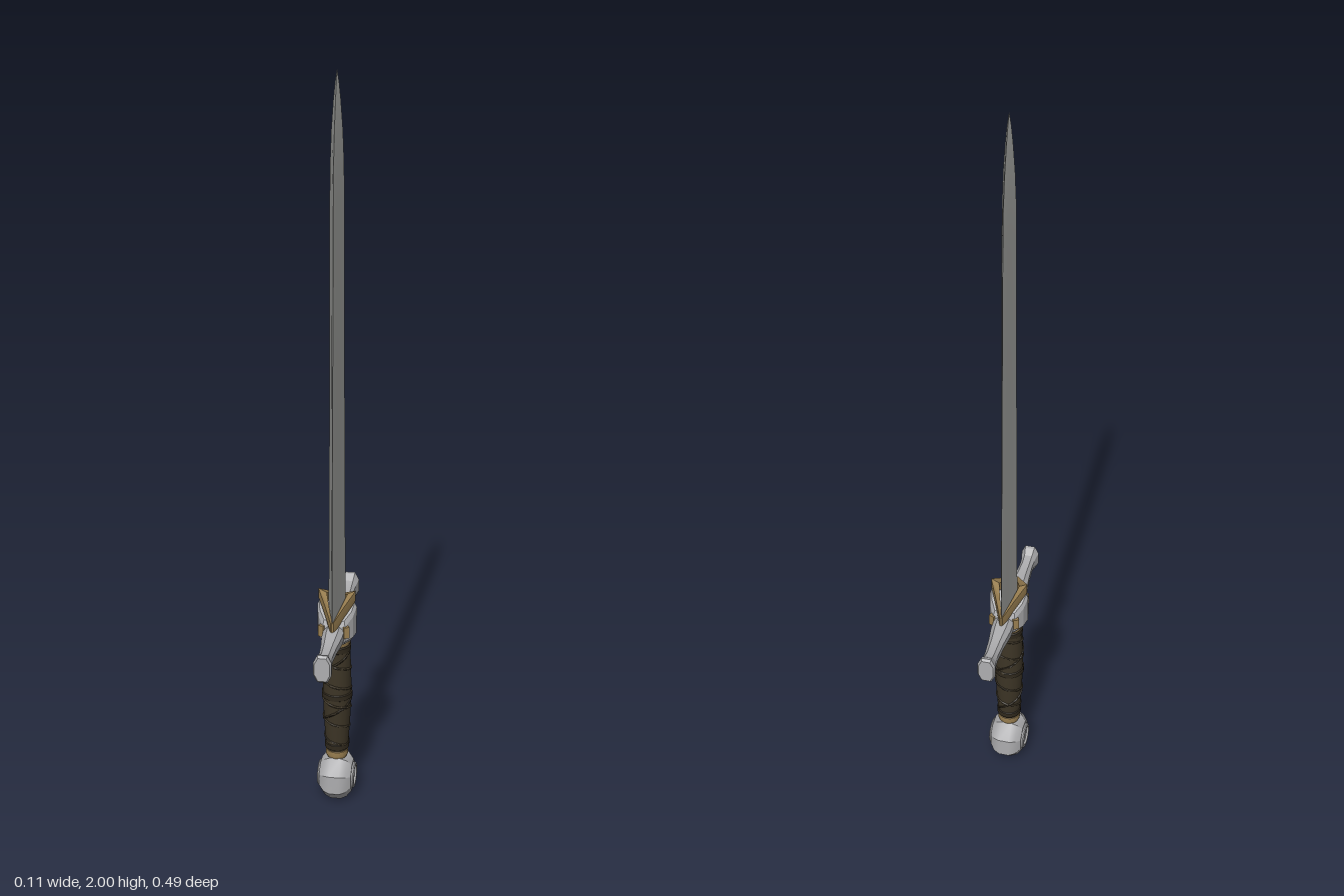
import * as THREE from 'three';
import { toCreasedNormals } from 'three/addons/utils/BufferGeometryUtils.js';

const mat = (name, color, side = THREE.FrontSide) => {
  const m = new THREE.MeshStandardMaterial({ color, side });
  m.name = name;
  return m;
};

// Skin a stack of rings (each an array of [x, y, z], turning from +x to +z)
function loft(rings, caps = true) {
  const pos = [], n = rings[0].length;
  const tri = (a, b, c) => pos.push(...a, ...b, ...c);
  for (let i = 0; i < rings.length - 1; i++) {
    for (let j = 0; j < n; j++) {
      const k = (j + 1) % n, lo = rings[i], hi = rings[i + 1];
      tri(lo[j], hi[j], lo[k]);
      tri(hi[j], hi[k], lo[k]);
    }
  }
  if (caps) {
    const a = rings[0], b = rings[rings.length - 1];
    for (let j = 1; j < n - 1; j++) {
      tri(a[0], a[j], a[j + 1]);
      tri(b[0], b[j + 1], b[j]);
    }
  }
  const g = new THREE.BufferGeometry();
  g.setAttribute('position', new THREE.Float32BufferAttribute(pos, 3));
  return g;
}

// Mirror a quarter outline (from the +x axis to the +z axis) into a full ring
function mirrorRing(quarter, y) {
  const q = quarter.map(([x, z]) => [x, z]);
  const half = [...q, ...q.slice(0, -1).reverse().map(([x, z]) => [-x, z])];
  const full = [...half, ...half.slice(1, -1).reverse().map(([x, z]) => [x, -z])];
  return full.map(([x, z]) => [x, typeof y === 'function' ? y(z) : y, z]);
}

export function createModel() {
  const sword = new THREE.Group();
  sword.name = 'sword';
  const blade = mat('bladeSteel', 0x9c9d9a);
  const steel = mat('fittingSteel', 0xaeaeb0);
  const gold = mat('agedGold', 0x9c8152, THREE.DoubleSide);
  const leather = mat('leather', 0x3d3526);
  const cord = mat('darkCord', 0x30291d);

  const add = (name, geometry, material, crease = 0.5) => {
    geometry.computeVertexNormals();
    const mesh = new THREE.Mesh(toCreasedNormals(geometry, crease), material);
    mesh.name = name;
    sword.add(mesh);
    return mesh;
  };
  const lathe = (pts, seg) =>
    new THREE.LatheGeometry(pts.map(([r, y]) => new THREE.Vector2(r, y)), seg);

  // Blade: hollow-ground diamond section [y, half width, half thickness]
  const stations = [
    [0.54, 0.085, 0.023], [0.9, 0.077, 0.021], [1.3, 0.068, 0.019], [1.7, 0.058, 0.018],
    [1.78, 0.054, 0.017], [1.86, 0.042, 0.014], [1.93, 0.025, 0.009], [1.97, 0.012, 0.005],
    [2.0, 0.0005, 0.0005],
  ];
  add('blade', loft(stations.map(([y, w, t]) =>
    mirrorRing([[t, 0], [t * 0.86, w * 0.14], [t * 0.6, w * 0.38], [t * 0.32, w * 0.7], [0, w]], y))),
    blade, 0.2);

  // Gold chevron collar around the foot of the blade
  const outer = [[0.05, 0], [0.025, 0.046], [0.004, 0.088], [0, 0.09]];
  const lower = outer.map(([x, z]) => [x * 0.92, z * 0.96]);
  const inner = [[0.028, 0], [0.015, 0.039], [0.002, 0.075], [0, 0.077]];
  const slope = (top) => (z) => top - 0.62 * Math.abs(z);
  add('collar', loft([
    mirrorRing(lower, slope(0.598)), mirrorRing(outer, slope(0.61)),
    mirrorRing(outer, slope(0.637)), mirrorRing(inner, slope(0.626)),
    mirrorRing(inner, slope(0.59)),
  ], false), gold, 0.3);

  // Faceted centre block of the guard
  const block = [[0.053, 0], [0.047, 0.028], [0.03, 0.056], [0, 0.06]];
  const scaled = (s) => block.map(([x, z]) => [x * s, z * s]);
  add('guardBlock', loft([
    mirrorRing(scaled(0.82), 0.498), mirrorRing(block, 0.512),
    mirrorRing(block, slope(0.59)), mirrorRing(scaled(0.9), slope(0.602)),
  ]), steel, 0.3);

  // Guard arms [distance, half width in x, half height], flared at the ends
  const arm = [
    [0.02, 0.028, 0.026], [0.09, 0.027, 0.024], [0.14, 0.021, 0.02], [0.19, 0.018, 0.019],
    [0.215, 0.019, 0.024], [0.232, 0.023, 0.037], [0.24, 0.024, 0.039], [0.246, 0.02, 0.033],
  ];
  for (const s of [1, -1]) {
    const g = loft(arm.map(([d, w, h]) =>
      mirrorRing([[w, 0], [w, h * 0.45], [w * 0.55, h], [0, h]], d)));
    g.rotateX(s * Math.PI / 2);
    g.translate(0, 0.531, 0);
    add(s > 0 ? 'guardArmFront' : 'guardArmBack', g, steel, 0.4);
    // Gold studs where the arms meet the block
    for (const side of [1, -1]) {
      const stud = new THREE.BoxGeometry(0.016, 0.032, 0.016);
      stud.rotateY(s * side * 0.5);
      stud.translate(side * 0.031, 0.54, s * 0.052);
      add('stud', stud, gold);
    }
  }

  // Gold ferrules above and below the grip
  add('upperFerrule', lathe([[0.026, 0.478], [0.036, 0.481], [0.038, 0.49], [0.034, 0.502], [0, 0.502]], 16), gold);
  add('lowerFerrule', lathe([[0, 0.126], [0.027, 0.126], [0.031, 0.135], [0.031, 0.15], [0.026, 0.157]], 16), gold);

  // Grip, swelling in the middle
  const radius = (y) => 0.029 + 0.01 * Math.sin(Math.PI * Math.min(1, (y - 0.14) / 0.42));
  const gripPts = [];
  for (let i = 0; i <= 12; i++) {
    const y = 0.145 + i * 0.0283;
    gripPts.push([radius(y), y]);
  }
  add('grip', lathe(gripPts, 16), leather, 0.8);

  // Crossed spiral wraps and binding bands
  for (const dir of [1, -1]) {
    const pts = [];
    for (let i = 0; i <= 64; i++) {
      const t = i / 64, a = dir * t * Math.PI * 2 * (dir > 0 ? 5 : 2);
      const y = 0.165 + t * 0.3, r = radius(y) - 0.0005;
      pts.push(new THREE.Vector3(Math.cos(a) * r, y, Math.sin(a) * r));
    }
    add('gripWrap', new THREE.TubeGeometry(new THREE.CatmullRomCurve3(pts), 120, 0.0035, 5),
      dir > 0 ? leather : cord, 1.3);
  }
  for (const y of [0.165, 0.325, 0.468]) {
    const r = radius(y);
    add('gripBand', lathe([[r - 0.003, y - 0.011], [r + 0.003, y - 0.007],
      [r + 0.003, y + 0.007], [r - 0.003, y + 0.011]], 16), cord);
  }

  // Octagonal pommel with a round raised rim on each face
  const side = [[0.07, 0.014], [0.062, 0.03], [0.044, 0.044], [0, 0.044]];
  const pommel = lathe([...side.map(([r, h]) => [r, -h]).reverse(), ...side], 8);
  pommel.rotateY(Math.PI / 8);
  pommel.rotateZ(Math.PI / 2);
  pommel.translate(0, 0.065, 0);
  add('pommel', pommel, steel, 0.45);
  for (const s of [1, -1]) {
    const rim = lathe([[0.037, 0.04], [0.036, 0.048], [0.033, 0.051], [0.027, 0.051],
      [0.023, 0.046], [0, 0.046]], 20);
    rim.rotateZ(-s * Math.PI / 2);
    rim.translate(0, 0.065, 0);
    add(s > 0 ? 'pommelRimLeft' : 'pommelRimRight', rim, steel);
  }
  return sword;
}
